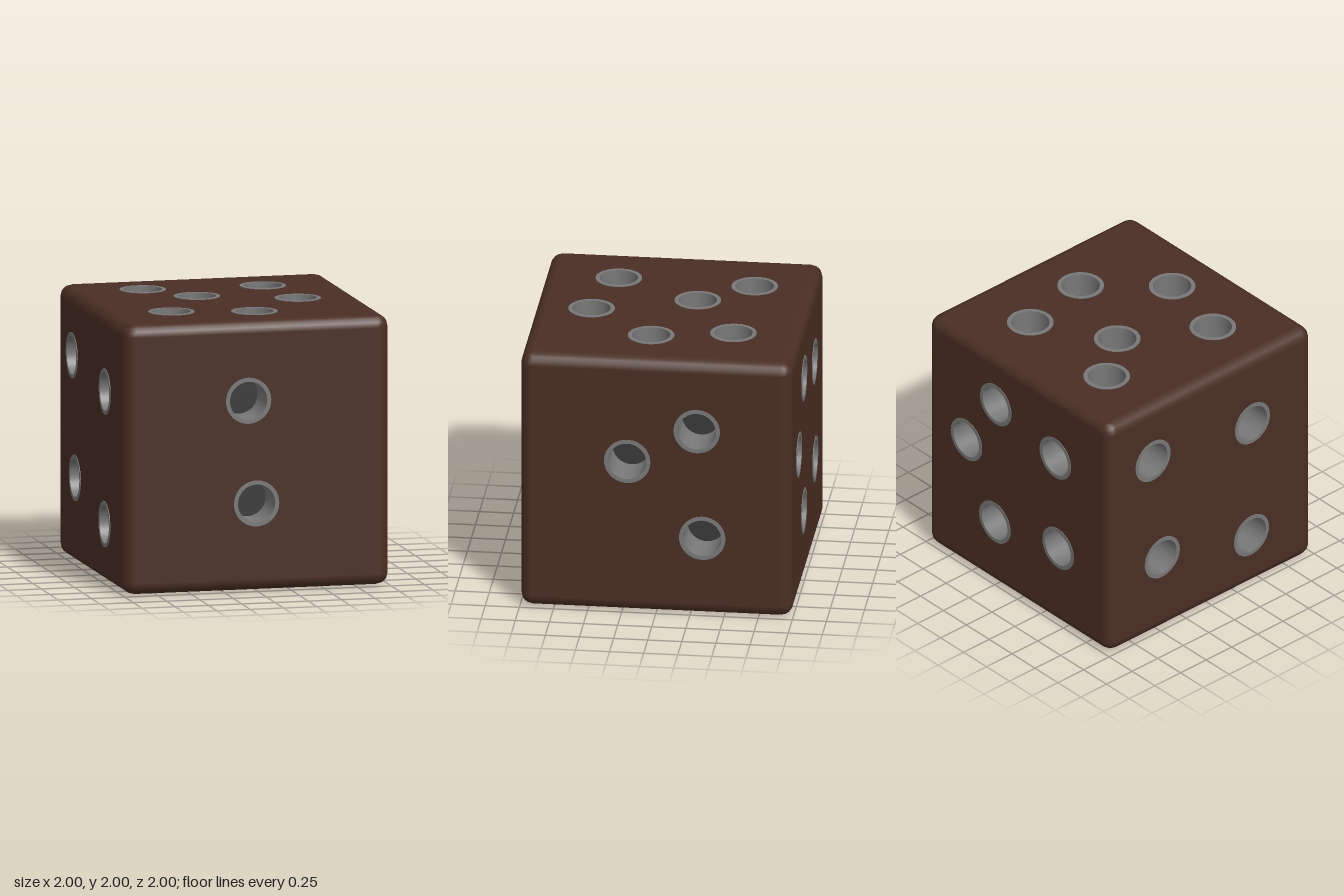
import * as THREE from 'three';
import { RoundedBoxGeometry } from 'three/addons/geometries/RoundedBoxGeometry.js';
import { mergeGeometries } from 'three/addons/utils/BufferGeometryUtils.js';

const HALF = 0.996, BEVEL = 0.09, RIM = 0.17, BORE = 0.14, DEPTH = 0.28, RAISE = 0.004;
const SIDES = 40;

// Each face: name, rotation about x and y, and pip centres in the face's own plane
const FACES = [
  ['front', 0, 0, [[-0.07, 0.41], [-0.01, -0.35]]],
  ['right', 0, Math.PI / 2, [[-0.21, 0.19], [0.30, 0.45], [0.34, -0.39]]],
  ['back', 0, Math.PI, [[-0.24, 0.59], [-0.56, 0.12], [0.41, 0.45], [-0.25, -0.45], [0.44, -0.33]]],
  ['left', 0, -Math.PI / 2, [[-0.57, 0.53], [0.40, 0.42], [-0.48, -0.36], [0.39, -0.56]]],
  ['top', -Math.PI / 2, 0, [[-0.47, 0.55], [0.42, 0.50], [-0.16, 0.17], [0.53, -0.09], [-0.51, -0.45], [0.08, -0.58]]],
  ['bottom', Math.PI / 2, 0, [[-0.20, -0.14]]],
];

// Rounded edges and corners only: the flat middle of every face is dropped
function edgeGeometry() {
  const box = new RoundedBoxGeometry(2 * HALF, 2 * HALF, 2 * HALF, 2, BEVEL);
  const pos = box.attributes.position, nor = box.attributes.normal;
  const p = [], n = [];
  for (let i = 0; i < pos.count; i += 3) {
    const ids = [i, i + 1, i + 2];
    const flat = ['getX', 'getY', 'getZ'].some((get) =>
      ids.every((k) => Math.abs(Math.abs(pos[get](k)) - HALF) < 1e-4));
    if (flat) continue;
    for (const k of ids) {
      p.push(pos.getX(k), pos.getY(k), pos.getZ(k));
      n.push(nor.getX(k), nor.getY(k), nor.getZ(k));
    }
  }
  const g = new THREE.BufferGeometry();
  g.setAttribute('position', new THREE.Float32BufferAttribute(p, 3));
  g.setAttribute('normal', new THREE.Float32BufferAttribute(n, 3));
  return g;
}

// Flat face panel with a round hole for each pip
function panelGeometry(pips) {
  const h = HALF - BEVEL;
  const shape = new THREE.Shape([[-h, -h], [h, -h], [h, h], [-h, h]].map(([x, y]) => new THREE.Vector2(x, y)));
  for (const [x, y] of pips) {
    shape.holes.push(new THREE.Path().absarc(x, y, (RIM + BORE) / 2, 0, Math.PI * 2, true));
  }
  return new THREE.ShapeGeometry(shape, SIDES / 2);
}

// Raised rim and bore wall, each step its own lathe so the edges stay sharp
function cupGeometry() {
  const profile = [[RIM, -0.01], [RIM, RAISE], [BORE, RAISE], [BORE, -DEPTH]]
    .map(([r, y]) => new THREE.Vector2(r, y));
  const steps = profile.slice(1).map((pt, i) => new THREE.LatheGeometry([profile[i], pt], SIDES));
  return mergeGeometries(steps).rotateX(Math.PI / 2);
}

export function createModel() {
  const wood = new THREE.MeshStandardMaterial({ color: 0x4a2e23 });
  wood.name = 'dark brown';
  const metal = new THREE.MeshStandardMaterial({ color: 0x787878 });
  metal.name = 'grey';
  const dark = new THREE.MeshStandardMaterial({ color: 0x383838 });
  dark.name = 'charcoal';

  const model = new THREE.Group();
  model.name = 'die';
  const add = (parent, name, geometry, material, x = 0, y = 0, z = 0) => {
    const mesh = new THREE.Mesh(geometry, material);
    mesh.name = name;
    mesh.position.set(x, y, z);
    parent.add(mesh);
  };

  add(model, 'roundedEdges', edgeGeometry(), wood, 0, 1, 0);

  const cup = cupGeometry();
  const floor = new THREE.CircleGeometry(BORE, SIDES);
  for (const [name, rx, ry, pips] of FACES) {
    const face = new THREE.Group();
    face.name = name + 'Face';
    face.position.y = 1;
    face.rotation.set(rx, ry, 0);
    add(face, name + 'Panel', panelGeometry(pips), wood, 0, 0, HALF);
    for (const [x, y] of pips) {
      add(face, 'pipCup', cup, metal, x, y, HALF);
      add(face, 'pipFloor', floor, dark, x, y, HALF - DEPTH);
    }
    model.add(face);
  }
  return model;
}
